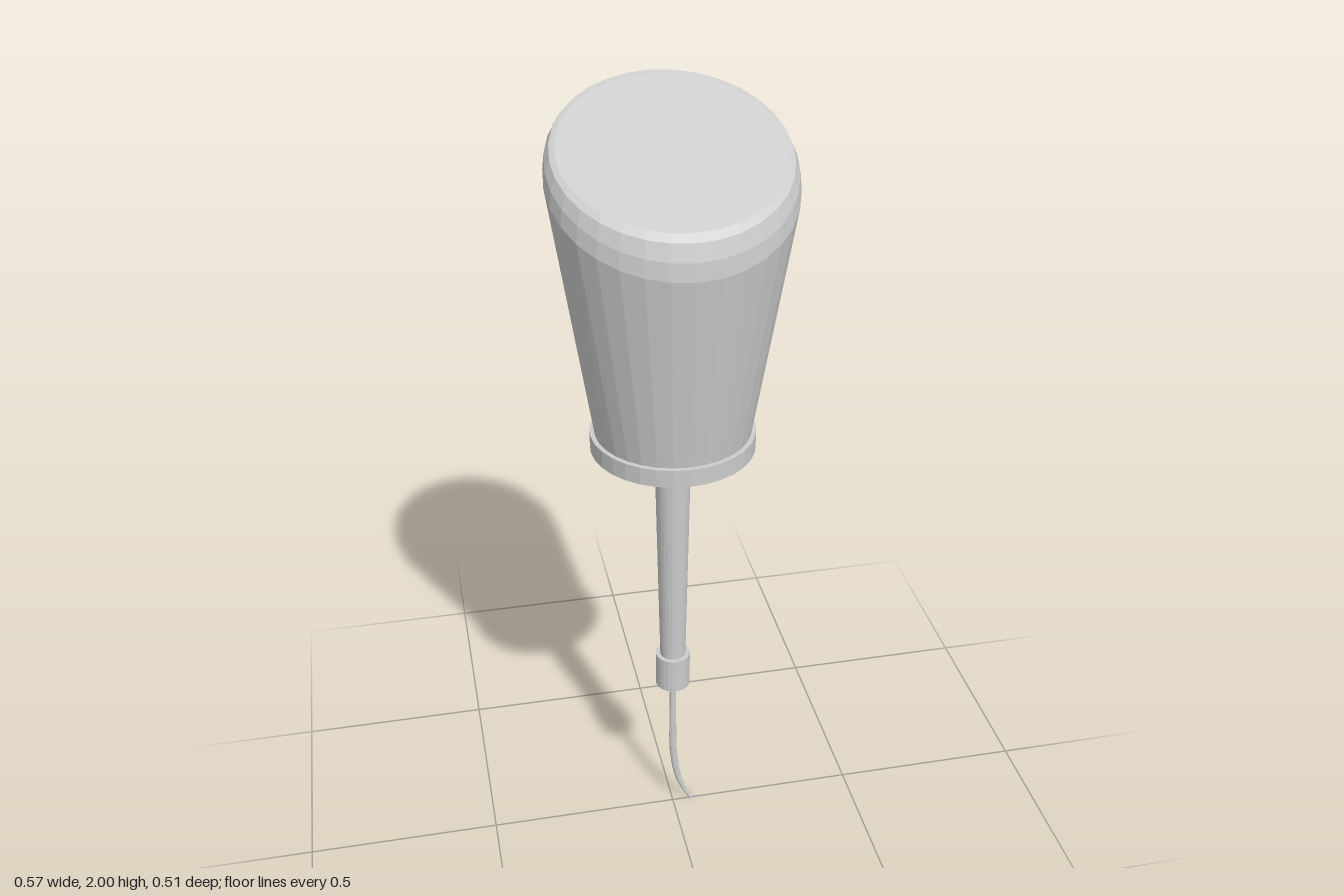
import * as THREE from 'three';

const material = new THREE.MeshStandardMaterial({ color: 0xcccccc, flatShading: true });

// Closed solid through elliptical rings listed bottom to top.
// Each ring: y centre, radii rx / rz, centre x, and tilt of y along x and z.
function loft(name, rings, sides) {
  const pos = [], index = [];
  for (const { y, rx, rz = rx, x = 0, tiltX = 0, tiltZ = 0 } of rings) {
    for (let i = 0; i < sides; i++) {
      const a = (i / sides) * Math.PI * 2;
      const dx = Math.sin(a) * rx, dz = Math.cos(a) * rz;
      pos.push(x + dx, y + tiltX * dx + tiltZ * dz, dz);
    }
  }
  const last = rings.length - 1;
  for (let r = 0; r < last; r++) {
    for (let i = 0; i < sides; i++) {
      const j = (i + 1) % sides, a = r * sides, b = a + sides;
      index.push(a + i, a + j, b + j, a + i, b + j, b + i);
    }
  }
  // End caps as fans
  const bottom = pos.length / 3, top = bottom + 1;
  pos.push(rings[0].x ?? 0, rings[0].y, 0, rings[last].x ?? 0, rings[last].y, 0);
  for (let i = 0; i < sides; i++) {
    const j = (i + 1) % sides;
    index.push(bottom, j, i, top, last * sides + i, last * sides + j);
  }
  const geo = new THREE.BufferGeometry();
  geo.setAttribute('position', new THREE.Float32BufferAttribute(pos, 3));
  geo.setIndex(index);
  const flat = geo.toNonIndexed();
  flat.computeVertexNormals();
  const mesh = new THREE.Mesh(flat, material);
  mesh.name = name;
  return mesh;
}

// Straight or tapered round part
const round = (name, y0, r0, y1, r1, sides) =>
  loft(name, [{ y: y0, rx: r0 }, { y: y1, rx: r1 }], sides);

export function createModel() {
  const group = new THREE.Group();
  group.name = 'curvedTipTool';

  // Flared handle with a slanted, rounded-over end
  group.add(loft('handle', [
    { y: 1.2, rx: 0.187 },
    { y: 1.83, rx: 0.283, rz: 0.257, tiltZ: -0.51 },
    { y: 1.865, rx: 0.279, rz: 0.253, tiltZ: -0.49 },
    { y: 1.89, rx: 0.268, rz: 0.241, tiltZ: -0.456 },
    { y: 1.896, rx: 0.255, rz: 0.226, tiltZ: -0.44 },
  ], 32));
  group.add(round('handleCollar', 1.165, 0.2, 1.21, 0.2, 32));

  // Shaft with its flange and ferrule
  group.add(round('shaftFlange', 1.147, 0.055, 1.17, 0.055, 24));
  group.add(round('shaft', 0.52, 0.033, 1.16, 0.045, 24));
  group.add(round('ferrule', 0.432, 0.045, 0.53, 0.045, 24));

  // Thin bent tip, rings tilted to stay square to the curve
  group.add(loft('curvedTip', [
    { x: 0.051, y: 0.003, rx: 0.004, rz: 0.009, tiltX: 0.6 },
    { x: 0.032, y: 0.04, rx: 0.006, rz: 0.006, tiltX: 0.5 },
    { x: 0.017, y: 0.08, rx: 0.008, rz: 0.006, tiltX: 0.35 },
    { x: 0.007, y: 0.13, rx: 0.009, rz: 0.007, tiltX: 0.2 },
    { x: 0.001, y: 0.19, rx: 0.01, rz: 0.008, tiltX: 0.08 },
    { x: 0, y: 0.24, rx: 0.01, rz: 0.008 },
    { x: 0, y: 0.44, rx: 0.008, rz: 0.007 },
  ], 12));

  return group;
}
